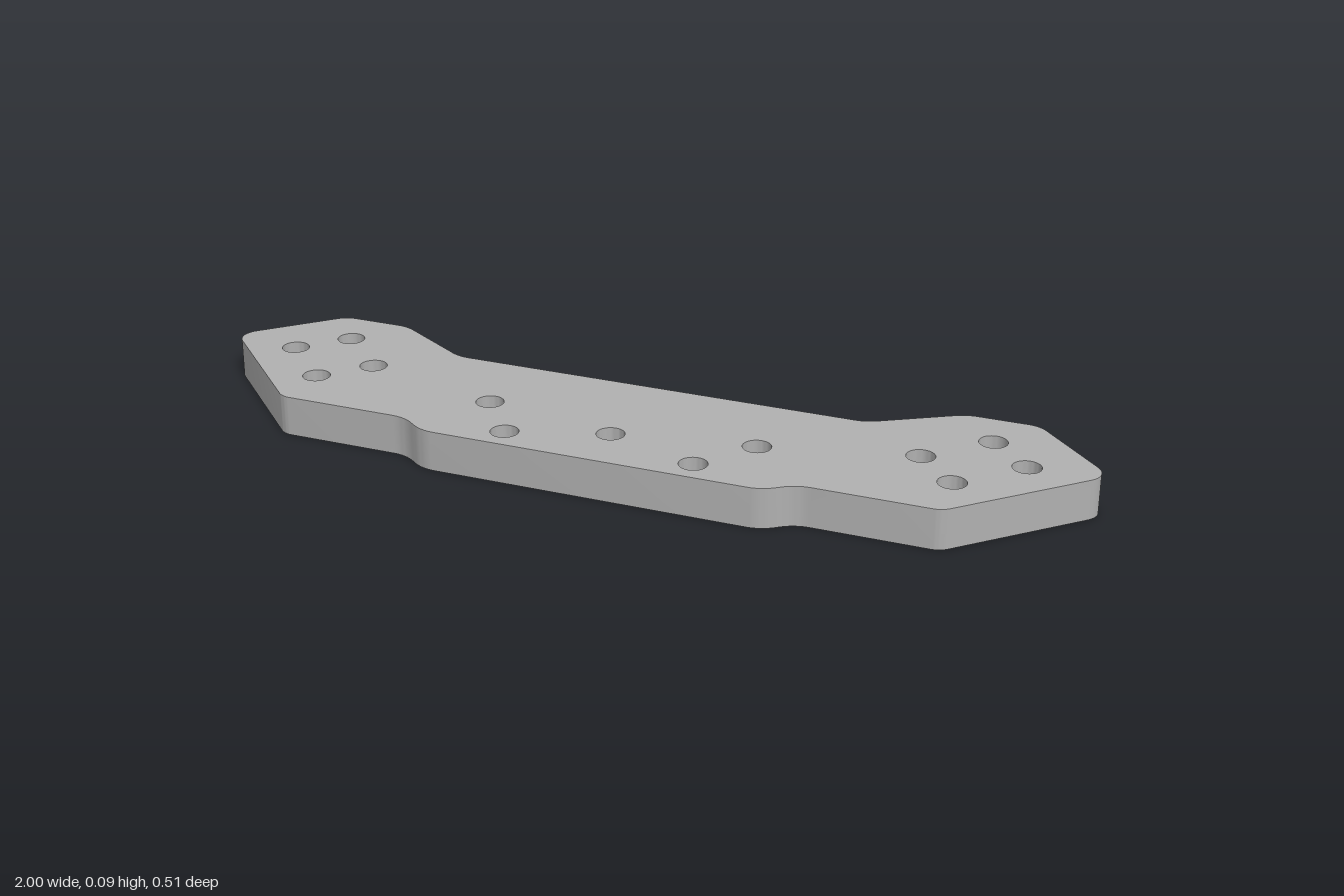
import * as THREE from 'three';
import { toCreasedNormals } from 'three/addons/utils/BufferGeometryUtils.js';

const THICKNESS = 0.09;
const HOLE_RADIUS = 0.031;

// Half outline from front to back: x, z, corner radius
const HALF_OUTLINE = [
  [0.382, 0.254, 0.09], [0.44, 0.208, 0.09], [0.742, 0.208, 0.045],
  [1.019, -0.069, 0.045], [0.832, -0.256, 0.06], [0.672, -0.256, 0.09], [0.482, -0.14, 0.09],
];

// Holes on one side: x, z; mirrored to the other
const SIDE_HOLES = [
  [0.759, -0.142], [0.852, -0.048], [0.636, -0.019], [0.728, 0.078],
  [0.307, 0.064], [0.213, 0.192],
];

// Closed outline with every corner replaced by a tangent arc
function roundedOutline(corners, steps = 8) {
  const points = [];
  corners.forEach(([x, y, r], i) => {
    const n = corners.length;
    const p = new THREE.Vector2(x, y);
    const a = new THREE.Vector2(...corners[(i + n - 1) % n].slice(0, 2)).sub(p).normalize();
    const b = new THREE.Vector2(...corners[(i + 1) % n].slice(0, 2)).sub(p).normalize();
    const half = Math.acos(a.dot(b)) / 2;
    const centre = a.clone().add(b).normalize().multiplyScalar(r / Math.sin(half)).add(p);
    const start = a.clone().multiplyScalar(r / Math.tan(half)).add(p).sub(centre);
    const sweep = (Math.PI - 2 * half) * Math.sign(b.cross(a));
    for (let k = 0; k <= steps; k++) {
      points.push(start.clone().rotateAround(new THREE.Vector2(), sweep * k / steps).add(centre));
    }
  });
  return points;
}

export function createModel() {
  const model = new THREE.Group();
  model.name = 'mountingPlate';
  const grey = new THREE.MeshStandardMaterial({ color: 0xb0b0b0 });
  grey.name = 'plain grey';

  // Shape y is -z, so the extrusion stands up after the rotation
  const right = HALF_OUTLINE.map(([x, z, r]) => [x, -z, r]);
  const left = right.map(([x, y, r]) => [-x, y, r]).reverse();
  const shape = new THREE.Shape(roundedOutline([...right, ...left]));

  // Bolt holes: mirrored pairs and one in the middle
  const holes = [...SIDE_HOLES, ...SIDE_HOLES.map(([x, z]) => [-x, z]), [0, 0.12]];
  for (const [x, z] of holes) {
    shape.holes.push(new THREE.Path().absarc(x, -z, HOLE_RADIUS, 0, Math.PI * 2, true));
  }

  const geometry = new THREE.ExtrudeGeometry(shape, {
    depth: THICKNESS, bevelEnabled: false, curveSegments: 16,
  });
  geometry.rotateX(-Math.PI / 2);
  const plate = new THREE.Mesh(toCreasedNormals(geometry, 0.5), grey);
  plate.name = 'plate';
  model.add(plate);
  return model;
}
